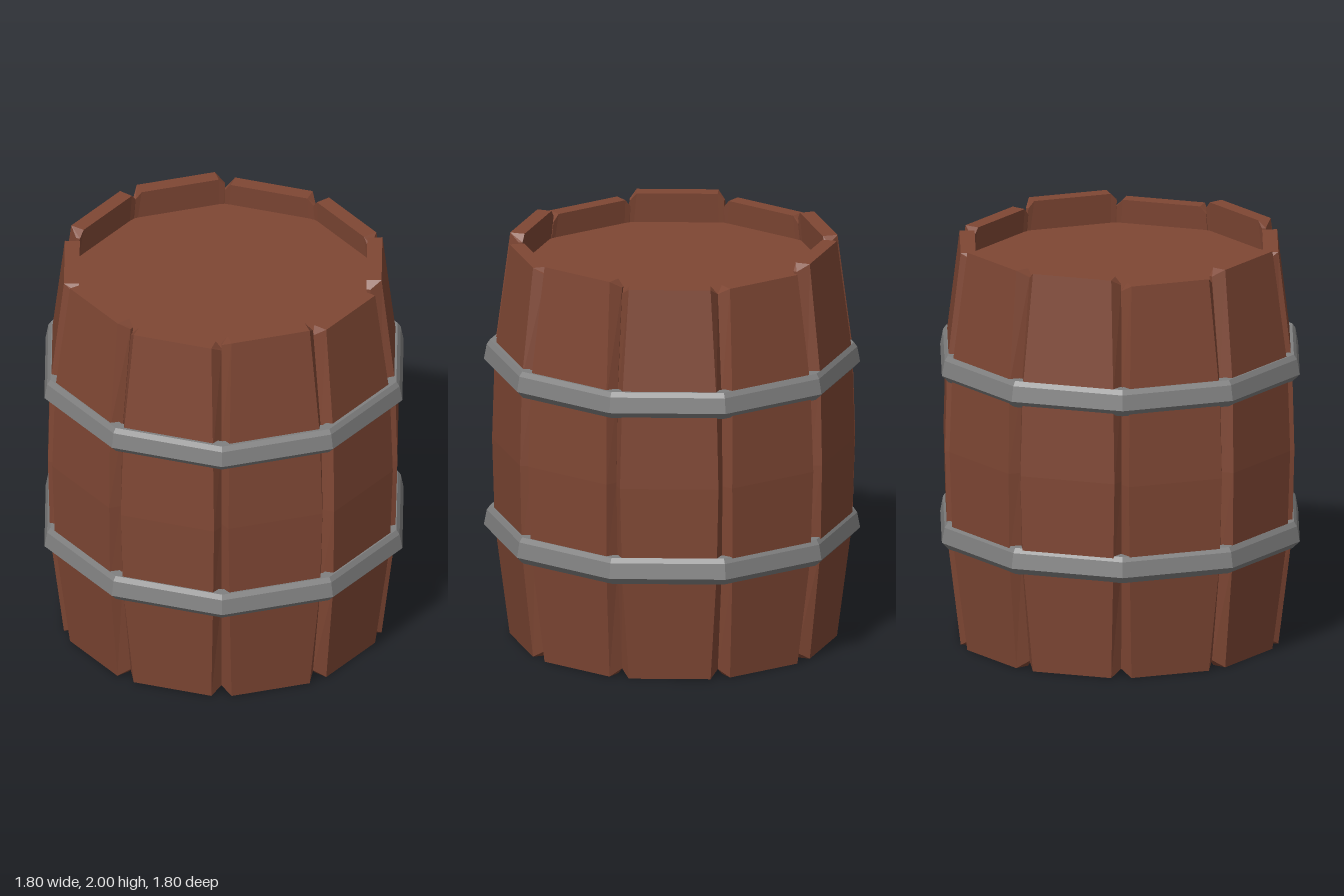
import * as THREE from 'three';

const SIDES = 10;
const STEP = (Math.PI * 2) / SIDES;
const CORNER = STEP / 4; // first corner sits 9 degrees off the front
const HALF = STEP / 2;

// Stave rows: [share of height, face distance, face half width, seam radius, inner distance]
const ROWS = [
  [0, 0.768, 0.198, 0.75, 0.695],
  [0.28, 0.834, 0.229, 0.815, 0.755],
  [0.5, 0.845, 0.238, 0.83, 0.765],
  [0.72, 0.834, 0.229, 0.815, 0.755],
  [1, 0.768, 0.198, 0.75, 0.695],
];

function flat(geometry) {
  const g = geometry.index ? geometry.toNonIndexed() : geometry;
  g.computeVertexNormals();
  return g;
}

// One bowed stave with bevelled long edges and clipped end corners
function staveGeometry(angle, height) {
  const sin = Math.sin(angle), cos = Math.cos(angle);
  const rings = ROWS.map(([share, a, w, seam, inner], r) => {
    const clip = r === 0 ? 0.035 : r === ROWS.length - 1 ? -0.035 : 0;
    const y = share * height;
    const sa = seam * Math.cos(HALF), st = seam * Math.sin(HALF);
    const it = inner * Math.tan(HALF), iw = it - 0.03;
    return [
      [-w, a, 0], [w, a, 0], [st, sa, clip], [it, inner, clip],
      [iw, inner, 0], [-iw, inner, 0], [-it, inner, clip], [-st, sa, clip],
    ].map(([t, d, dy]) => [d * sin + t * cos, y + dy, d * cos - t * sin]);
  });
  const pos = [];
  const quad = (a, b, c, d) => pos.push(...a, ...b, ...c, ...a, ...c, ...d);
  for (let k = 0; k < rings.length - 1; k++) {
    for (let i = 0; i < 8; i++) {
      const j = (i + 1) % 8;
      quad(rings[k][i], rings[k][j], rings[k + 1][j], rings[k + 1][i]);
    }
  }
  const top = rings[rings.length - 1], bottom = rings[0];
  for (const [a, b, c, d] of [[0, 1, 4, 5], [1, 2, 3, 4], [5, 6, 7, 0]]) {
    quad(top[a], top[b], top[c], top[d]);
    quad(bottom[d], bottom[c], bottom[b], bottom[a]);
  }
  const g = new THREE.BufferGeometry();
  g.setAttribute('position', new THREE.Float32BufferAttribute(pos, 3));
  return flat(g);
}

export function createModel() {
  const wood = new THREE.MeshStandardMaterial({ color: 0x7f4734 });
  wood.name = 'brown wood';
  const iron = new THREE.MeshStandardMaterial({ color: 0x808080 });
  iron.name = 'grey iron';

  const barrel = new THREE.Group();
  barrel.name = 'barrel';
  const add = (name, geometry, material, parent = barrel) => {
    const mesh = new THREE.Mesh(geometry, material);
    mesh.name = name;
    parent.add(mesh);
    return mesh;
  };

  // Staves of two slightly different lengths
  const staves = new THREE.Group();
  staves.name = 'staves';
  staves.position.set(-0.005, 0, -0.006);
  barrel.add(staves);
  const heights = [1.97, 2, 1.97, 2, 1.97, 1.97, 2, 2, 1.97, 2];
  heights.forEach((h, i) => {
    add(`stave${i + 1}`, staveGeometry(CORNER - HALF + i * STEP, h), wood, staves);
  });

  // Recessed lid and base, joined as one core behind the staves
  const core = new THREE.CylinderGeometry(0.75, 0.75, 1.7, SIDES, 1, false, CORNER);
  add('lidAndBase', flat(core), wood, staves).position.y = 1;

  // Two bevelled hoops
  const profile = [
    [0.83, -0.065], [0.875, -0.065], [0.91, -0.03],
    [0.896, 0.045], [0.88, 0.068], [0.83, 0.068], [0.83, -0.065],
  ].map(([r, y]) => new THREE.Vector2(r, y));
  [['lowerHoop', 0.565], ['upperHoop', 1.405]].forEach(([name, y]) => {
    add(name, flat(new THREE.LatheGeometry(profile, SIDES, CORNER)), iron).position.y = y;
  });

  return barrel;
}
